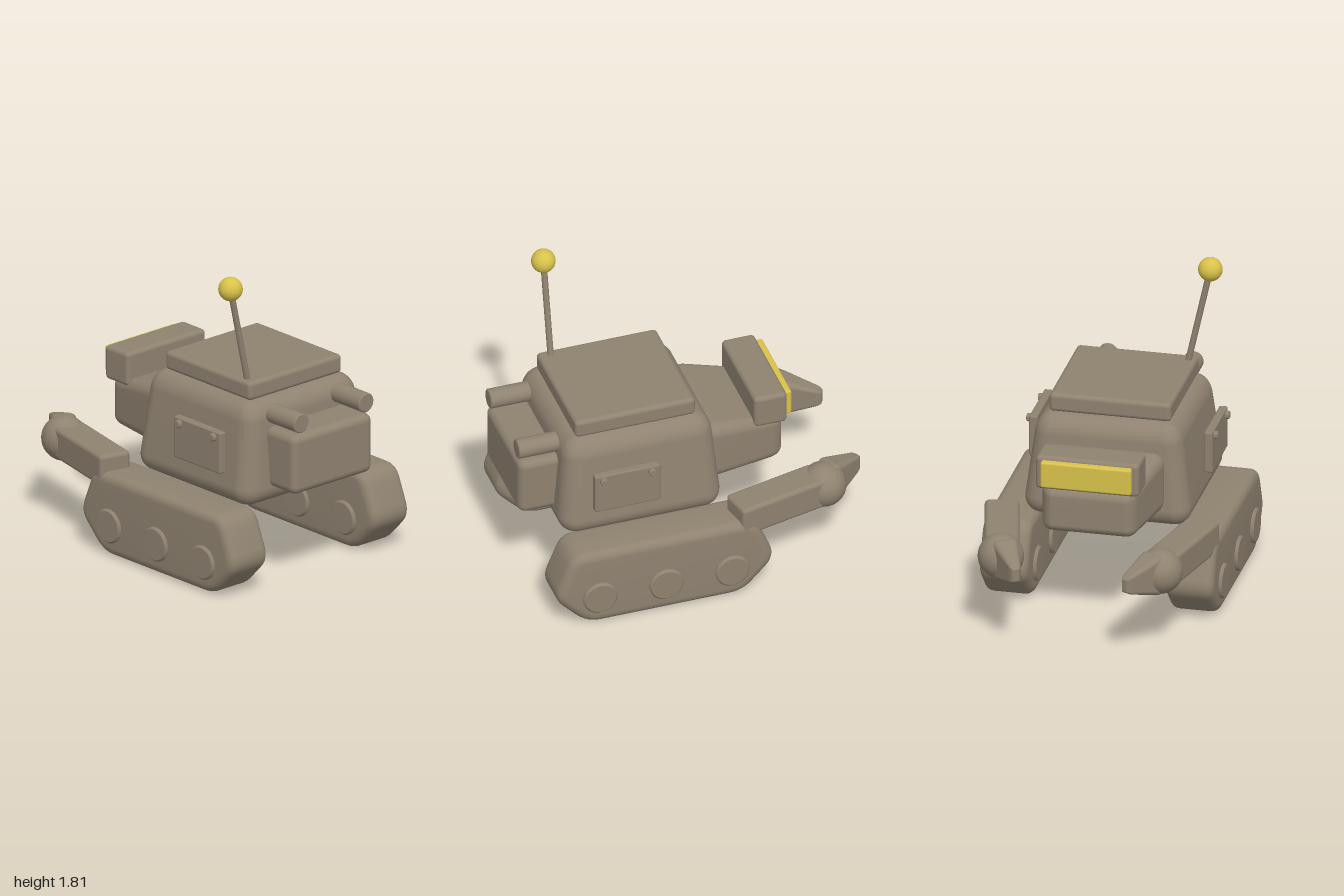
import * as THREE from 'three';
import { mergeVertices, toCreasedNormals } from 'three/addons/utils/BufferGeometryUtils.js';
import { RoundedBoxGeometry } from 'three/addons/geometries/RoundedBoxGeometry.js';

const lerp = THREE.MathUtils.lerp;

// Rounded box between two corners
function roundedBox(min, max, r, seg = 4) {
  const s = max.map((v, i) => v - min[i]);
  return new RoundedBoxGeometry(s[0], s[1], s[2], seg, r)
    .translate(...max.map((v, i) => (v + min[i]) / 2));
}

// Move every vertex by a rule, then rebuild smooth normals
function reshape(geometry, rule) {
  geometry.deleteAttribute('normal');
  geometry.deleteAttribute('uv');
  const g = mergeVertices(geometry, 1e-4);
  const p = g.attributes.position, v = new THREE.Vector3();
  for (let i = 0; i < p.count; i++) {
    v.fromBufferAttribute(p, i);
    rule(v);
    p.setXYZ(i, v.x, v.y, v.z);
  }
  g.computeVertexNormals();
  return g;
}

// Closed polygon with softened corners
function softShape(points, cut) {
  const pts = points.map(p => new THREE.Vector2(...p)), shape = new THREE.Shape();
  pts.forEach((p, i) => {
    const prev = pts[(i + pts.length - 1) % pts.length], next = pts[(i + 1) % pts.length];
    const a = p.clone().add(prev.clone().sub(p).setLength(cut));
    const b = p.clone().add(next.clone().sub(p).setLength(cut));
    if (i) shape.lineTo(a.x, a.y); else shape.moveTo(a.x, a.y);
    shape.quadraticCurveTo(p.x, p.y, b.x, b.y);
  });
  shape.closePath();
  return shape;
}

// Disc or rod along x with slightly bevelled rims
function rod(r, length, bevel) {
  const h = length / 2;
  const profile = [[0, -h], [r - bevel, -h], [r, -h + bevel], [r, h - bevel], [r - bevel, h], [0, h]];
  const g = new THREE.LatheGeometry(profile.map(p => new THREE.Vector2(...p)), 32);
  return toCreasedNormals(g, 0.5).rotateZ(-Math.PI / 2);
}

export function createModel() {
  const model = new THREE.Group();
  model.name = 'trackedRobot';
  const brown = new THREE.MeshStandardMaterial({ color: 0x8f8270 });
  brown.name = 'brown';
  const yellow = new THREE.MeshStandardMaterial({ color: 0xd8c24a });
  yellow.name = 'yellow';

  function add(name, geometry, material = brown, parent = model) {
    const mesh = new THREE.Mesh(geometry, material);
    mesh.name = name;
    parent.add(mesh);
    return mesh;
  }

  // Hull, narrower at the top
  add('hull', reshape(roundedBox([-0.49, 0.47, -0.16], [0.49, 1.07, 0.81], 0.11, 6), v => {
    const t = (v.y - 0.47) / 0.6;
    v.x *= lerp(1, 0.84, t);
    v.z = 0.326 + (v.z - 0.326) * lerp(1, 0.89, t);
  }));
  add('roofHatch', roundedBox([-0.35, 1.065, -0.025], [0.35, 1.175, 0.685], 0.025));

  // Snout, narrowing and sloping down away from the hull
  add('snout', reshape(roundedBox([-0.355, 0.57, -0.575], [0.355, 0.94, -0.1], 0.075, 5), v => {
    const t = (-0.1 - v.z) / 0.475;
    v.x *= lerp(1, 0.73, t);
    v.y = 0.57 + (v.y - 0.57) * lerp(1, 0.75, t);
  }));
  add('head', roundedBox([-0.297, 0.84, -0.585], [0.297, 1.04, -0.39], 0.025));
  add('visor', roundedBox([-0.26, 0.865, -0.622], [0.26, 1.02, -0.57], 0.012), yellow);

  // Pack with two pipes above it
  add('pack', roundedBox([-0.3, 0.572, 0.74], [0.3, 0.923, 1], 0.045));
  for (const x of [-0.245, 0.245])
    add('packPipe', rod(0.057, 0.24, 0.006).rotateY(Math.PI / 2).translate(x, 0.997, 0.88));

  // Leaning antenna
  const foot = new THREE.Vector3(-0.295, 1.13, 0.612), tip = new THREE.Vector3(-0.43, 1.74, 0.612);
  const mast = add('antennaMast', new THREE.CylinderGeometry(0.018, 0.018, foot.distanceTo(tip), 16));
  mast.position.copy(foot).lerp(tip, 0.5);
  mast.quaternion.setFromUnitVectors(new THREE.Vector3(0, 1, 0), tip.clone().sub(foot).normalize());
  add('antennaBall', new THREE.SphereGeometry(0.069, 32, 20), yellow).position.copy(tip);

  // Track outline, (z, y)
  const outline = [[-0.2, 0], [0.72, 0], [0.915, 0.2], [0.8, 0.48], [-0.28, 0.48], [-0.395, 0.2]];

  for (const s of [-1, 1]) {
    const side = new THREE.Group();
    side.name = s > 0 ? 'leftSide' : 'rightSide';
    model.add(side);

    // Track block and its wheels
    const track = new THREE.ExtrudeGeometry(softShape(outline, 0.08), {
      depth: 0.18, curveSegments: 6, bevelEnabled: true,
      bevelThickness: 0.05, bevelSize: 0.05, bevelOffset: -0.05, bevelSegments: 5,
    });
    track.translate(0, 0, -0.09).rotateY(-Math.PI / 2).translate(s * 0.533, 0, 0);
    add('track', toCreasedNormals(track, 0.6), brown, side);
    for (const z of [-0.13, 0.26, 0.65])
      add('wheel', rod(0.1, 0.316, 0.01).translate(s * 0.533, 0.18, z), brown, side);

    // Hull side plate with two bolts
    const plateX = [s * 0.478, s * 0.527].sort((a, b) => a - b);
    add('sidePlate', roundedBox([plateX[0], 0.66, 0.243], [plateX[1], 0.905, 0.63], 0.01, 2), brown, side);
    for (const z of [0.295, 0.58])
      add('bolt', rod(0.023, 0.05, 0.005).translate(s * 0.525, 0.873, z), brown, side);

    // Forearm, turned inwards
    const arm = add('forearm', roundedBox([-0.097, -0.093, -0.56], [0.097, 0.093, 0], 0.025), brown, side);
    arm.position.set(s * 0.583, 0.483, -0.175);
    arm.rotation.y = s * 0.23;
    add('wristBall', new THREE.SphereGeometry(0.13, 32, 20), brown, side)
      .position.set(s * 0.457, 0.483, -0.742);

    // Tapered claw
    const claw = add('claw', reshape(roundedBox([-0.08, -0.13, -0.26], [0.08, 0.13, 0], 0.04), v => {
      const k = lerp(1, 0.36, -v.z / 0.26);
      v.x *= k;
      v.y *= k;
    }), brown, side);
    claw.position.set(s * 0.433, 0.483, -0.765);
    claw.rotation.y = s * 0.49;
  }
  return model;
}
